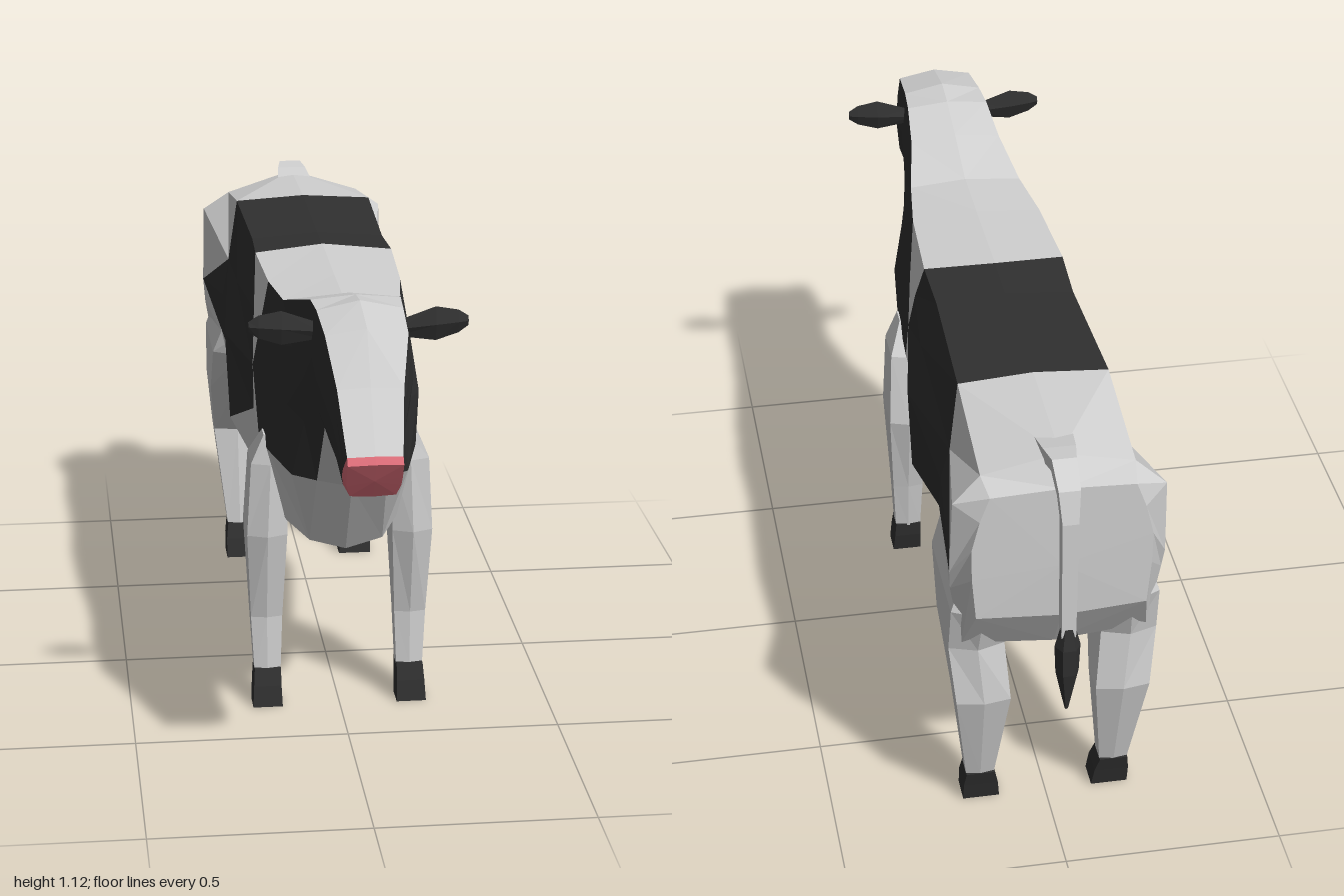
import * as THREE from 'three';

const mat = (name, color) => Object.assign(new THREE.MeshStandardMaterial({ color }), { name });
const mix = THREE.MathUtils.lerp;

// Unindexed triangles give crisp facets
function facetMesh(name, tris, material) {
  const g = new THREE.BufferGeometry();
  g.setAttribute('position', new THREE.Float32BufferAttribute(tris.flat(2), 3));
  g.computeVertexNormals();
  const m = new THREE.Mesh(g, material);
  m.name = name;
  return m;
}

// Closed skin over equal-length rings of [x, y, z]; turned outward by its signed volume
function loft(name, rings, material) {
  const tris = [];
  const n = rings[0].length;
  const mid = r => [0, 1, 2].map(k => r.reduce((s, p) => s + p[k], 0) / n);
  const first = rings[0], last = rings[rings.length - 1];
  for (let j = 0; j < n; j++) {
    const k = (j + 1) % n;
    for (let i = 0; i < rings.length - 1; i++) {
      const A = rings[i], B = rings[i + 1];
      tris.push([A[j], A[k], B[k]], [A[j], B[k], B[j]]);
    }
    tris.push([mid(first), first[k], first[j]], [mid(last), last[j], last[k]]);
  }
  const o = mid(first);
  const v = p => new THREE.Vector3(p[0] - o[0], p[1] - o[1], p[2] - o[2]);
  const volume = tris.reduce((s, [a, b, c]) => s + v(a).dot(v(b).cross(v(c))), 0);
  return facetMesh(name, volume < 0 ? tris.map(([a, b, c]) => [a, c, b]) : tris, material);
}

// Body from rump to muzzle: top z, bottom z, top y, bottom y, half widths at back, flank, belly
const SECTIONS = [
  [-.905, -.9, .97, .63, .16, .2, .19],
  [-.86, -.82, 1.03, .5, .17, .24, .21],
  [-.55, -.61, 1.04, .49, .17, .21, .18],
  [-.2, -.18, 1.035, .437, .16, .23, .15],
  [-.05, .02, 1.04, .445, .165, .185, .15],
  [.19, .15, 1.035, .44, .155, .185, .14],
  [.35, .35, 1.035, .465, .135, .18, .13],
  [.5, .44, 1.08, .445, .11, .14, .085],
  [.62, .56, 1.11, .64, .1, .115, .08],
  [.7, .69, 1.12, .82, .095, .105, .075],
  [.83, .75, 1.095, .8, .09, .105, .07],
  [.9, .83, .985, .78, .072, .08, .06],
  [.988, .875, .86, .758, .06, .064, .057],
  [1, .945, .845, .755, .06, .06, .05],
];
// Depth of each row below the back
const ROWS = [0, .02, .2, .42, .65, .96, 1];
// Corners that leave their row: 'section,row' to [y, z, optional half width]
const CORNERS = {
  '1,1': [.98, -.84], '1,2': [.93, -.865, .235], '1,3': [.74, -.85],
  '2,2': [.87, -.57], '2,3': [.78, -.55], '2,4': [.67, -.5], '3,4': [.57, -.18],
  '4,0': [1.04, -.07], '4,2': [.91, .03], '4,3': [.79, .09], '4,4': [.67, .06],
  '5,2': [.9, .14], '5,3': [.79, .09], '5,4': [.65, .18], '7,4': [.66, .52],
  '9,1': [1.1, .7], '10,1': [1.08, .825],
};
// Coat of each band: W white, B black, P pink; d and c are cells split along a diagonal
const COAT = ['WWWWWW', 'WWdcWW', 'BBBBWW', 'BBBBWW', 'WWWWWW', 'WBBBWW', 'WBBBWW',
  'WBBBcW', 'WBBBBW', 'WBBBBW', 'WBBBBW', 'WBBBBW', 'PPPPPP'];

// Half section from top centre to bottom centre
function halfSection([zTop, zBottom, top, bottom, back, flank, belly], i) {
  const widths = [0, back, mix(back, flank, .55), flank, mix(flank, belly, .12), belly, 0];
  return ROWS.map((t, j) => {
    const [y, z, x = widths[j]] = CORNERS[`${i},${j}`] ?? [mix(top, bottom, t), mix(zTop, zBottom, t)];
    return [x, y, z];
  });
}

function buildBody(mats) {
  const tris = { W: [], B: [], P: [] };
  const half = SECTIONS.map(halfSection);
  for (const s of [1, -1]) {
    const rings = half.map(r => r.map(([x, y, z]) => [s * x, y, z]));
    const add = (key, a, b, c) => tris[key].push(s > 0 ? [a, c, b] : [a, b, c]);
    COAT.forEach((row, i) => {
      [...row].forEach((key, j) => {
        const a = rings[i][j], b = rings[i][j + 1], c = rings[i + 1][j + 1], d = rings[i + 1][j];
        if (key === 'd') {
          add('W', a, b, d);
          add('B', b, c, d);
        } else {
          add(key === 'c' ? 'W' : key, a, b, c);
          add(key === 'c' ? 'B' : key, a, c, d);
        }
      });
    });
    // Rump and nose end faces
    const rear = rings[0], nose = rings[rings.length - 1];
    for (let j = 0; j < 6; j++) {
      add('W', [0, .77, -.905], rear[j + 1], rear[j]);
      add('P', [0, .8, .975], nose[j], nose[j + 1]);
    }
  }
  const body = new THREE.Group();
  body.name = 'body';
  body.add(facetMesh('whiteCoat', tris.W, mats.white),
    facetMesh('blackPatches', tris.B, mats.black),
    facetMesh('muzzle', tris.P, mats.pink));
  return body;
}

// Six-sided horizontal leg section
const legRing = (s, [y, x0, x1, z0, z1]) =>
  [[x0, .1], [x0, .88], [(x0 + x1) / 2, 1], [x1, .88], [x1, .1], [(x0 + x1) / 2, 0]]
    .map(([x, t]) => [s * x, y, mix(z0, z1, t)]);
// Four-sided hoof section
const hoofRing = (s, [y, x0, x1, z0, z1]) =>
  [[x0, z0], [x0, z1], [x1, z1], [x1, z0]].map(([x, z]) => [s * x, y, z]);

// Sections as [y, inner x, outer x, back z, front z]
const LEGS = {
  front: {
    leg: [[.69, .13, .18, .27, .33], [.62, .12, .21, .21, .34], [.44, .125, .22, .18, .34],
      [.22, .135, .21, .225, .295], [.085, .14, .203, .245, .298]],
    hoof: [[.09, .14, .203, .245, .302], [.05, .14, .206, .25, .315], [0, .138, .209, .262, .325]],
  },
  hind: {
    leg: [[.69, .1, .21, -.86, -.51], [.62, .1, .235, -.87, -.53], [.5, .11, .237, -.83, -.62],
      [.35, .098, .222, -.837, -.73], [.085, .125, .19, -.765, -.705]],
    hoof: [[.09, .125, .19, -.768, -.705], [.05, .115, .195, -.757, -.69], [0, .11, .195, -.745, -.68]],
  },
};

export function createModel() {
  const mats = {
    white: mat('white coat', 0xd0d0d0),
    black: mat('black coat', 0x303030),
    pink: mat('pink skin', 0xd96c77),
  };
  const cow = new THREE.Group();
  cow.name = 'cow';
  cow.add(buildBody(mats));

  for (const [s, side] of [[1, 'Left'], [-1, 'Right']]) {
    for (const [end, { leg, hoof }] of Object.entries(LEGS)) {
      cow.add(loft(`${end}${side}Leg`, leg.map(r => legRing(s, r)), mats.white),
        loft(`${end}${side}Hoof`, hoof.map(r => hoofRing(s, r)), mats.black));
    }
    // Leaf-shaped ear: x, low y, high y, half thickness
    const ear = [[.085, 1.03, 1.065, .008], [.17, 1.018, 1.095, .014],
      [.22, 1.034, 1.086, .01], [.242, 1.05, 1.072, .005]];
    cow.add(loft(`ear${side}`, ear.map(([x, lo, hi, t]) =>
      [[lo, .68], [(lo + hi) / 2, .68 + t], [hi, .68], [(lo + hi) / 2, .68 - t]]
        .map(([y, z]) => [s * x, y, z])), mats.black));
  }

  // Udder: z, width scale, bottom lift
  const udder = [[-.34, .95, .022], [-.39, 1, 0], [-.585, 1, .018], [-.62, .9, .045]];
  cow.add(loft('udder', udder.map(([z, k, up]) =>
    [[-.125, .5], [-.135, .42], [-.115, .385], [0, .363], [.115, .385], [.135, .42], [.125, .5]]
      .map(([x, y]) => [x * k, y + (y < .45 ? up : 0), z])), mats.pink));

  // Tail: y, z, half width, and the direction across its thickness
  const tail = [[1.008, -.76, .045, 1, 0], [1.025, -.85, .036, 1, 0], [1.03, -.9, .027, 1, -.2],
    [.995, -.957, .024, .6, -.6], [.93, -.968, .018, 0, -1], [.63, -.968, .016, 0, -1]];
  cow.add(loft('tail', tail.map(([y, z, w, dy, dz]) =>
    [[-1, -1], [1, -1], [1, 1], [-1, 1]].map(([a, b]) =>
      [a * w, y + b * dy * .016, z + b * dz * .016])), mats.white));

  // Tail tuft: y, radius
  const tuft = [[.66, .014], [.6, .029], [.53, .026], [.425, .004]];
  cow.add(loft('tailTuft', tuft.map(([y, r]) => Array.from({ length: 6 }, (_, i) =>
    [r * Math.cos(i * Math.PI / 3), y, -.97 + r * Math.sin(i * Math.PI / 3)])), mats.black));

  return cow;
}
